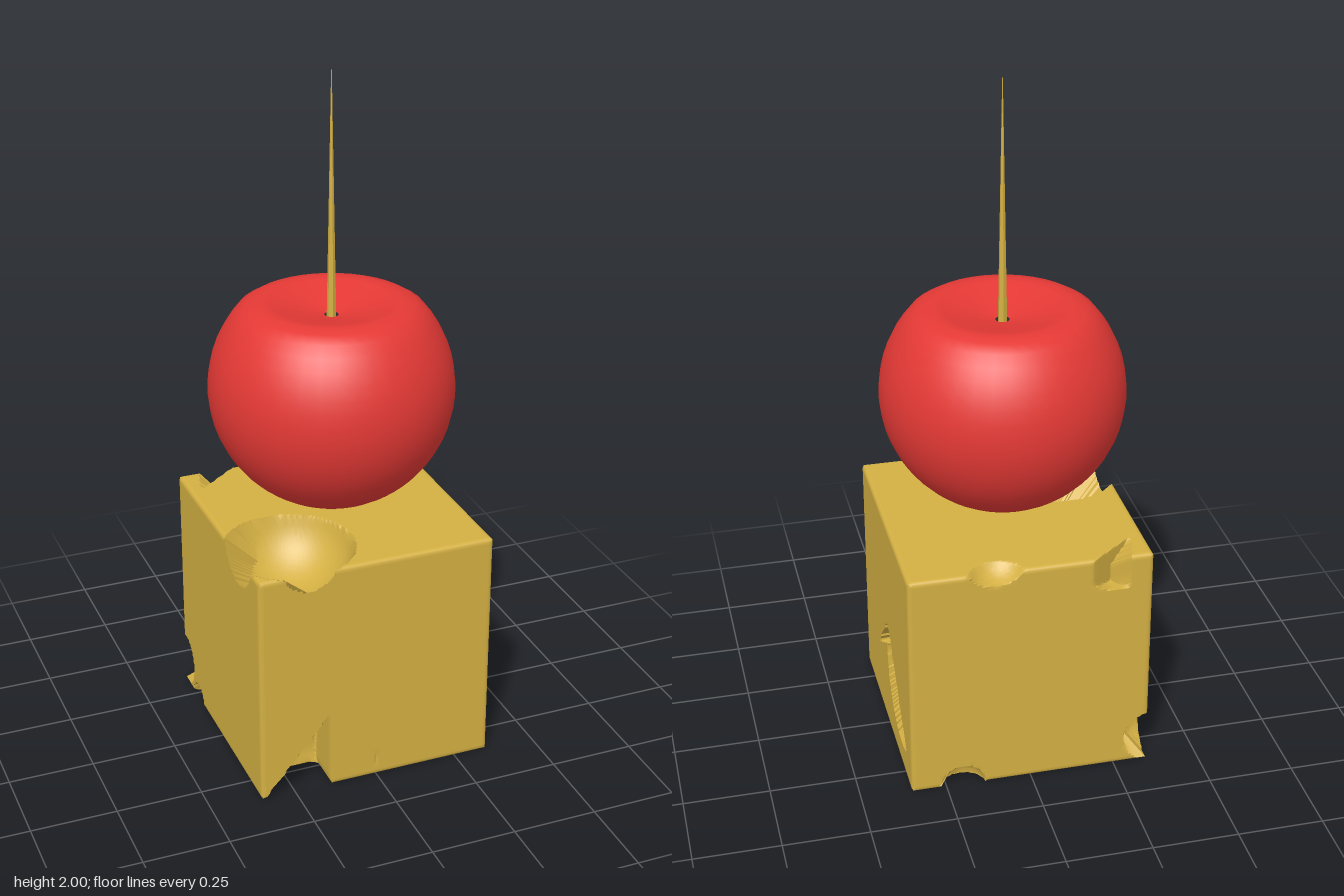
import * as THREE from 'three';
import { toCreasedNormals } from 'three/addons/utils/BufferGeometryUtils.js';

const HALF = 0.352; // half the side of the cheese cube
const V = (x, y, z) => new THREE.Vector3(x, y - HALF, z);

// A bite is a ball, optionally trimmed by planes given as [normal, point].
const bite = (center, r, planes = []) => ({
  c: V(...center), r,
  planes: planes.map(([n, q]) => ({ n: new THREE.Vector3(...n), q: V(...q) })),
});

const BITES = [
  // half-round hollow and its small side nick on the +x face
  bite([0.35, 0.268, -0.2], 0.193, [[[0, -0.68, 0.736], [0.35, 0.22, -0.15]]]),
  bite([0.36, 0.28, 0.06], 0.1, [
    [[0, -0.125, -0.14], [0.35, 0.355, 0]],
    [[0, 0.125, 0.075], [0.35, 0.29, 0]],
  ]),
  // large hollow beside the top front corner
  bite([-0.2, 0.735, 0.18], 0.19),
  // wedge in the top back corner
  bite([-0.25, 0.72, -0.33], 0.12, [
    [[0.105, 0, 0.03], [-0.285, 0.7, -0.35]],
    [[-0.11, 0, -0.14], [-0.18, 0.7, -0.35]],
  ]),
  // shallow scoop on the top back edge
  bite([0.1, 0.76, -0.37], 0.1),
  // triangular cut at the front bottom
  bite([-0.2, 0.05, 0.44], 0.22, [
    [[-1, 0, 0], [-0.14, 0, 0.35]],
    [[0.24, -0.2, 0], [-0.34, 0, 0.35]],
  ]),
  // nicks along the bottom edges
  bite([-0.36, 0.08, -0.34], 0.08),
  bite([-0.36, 0, -0.22], 0.05),
  bite([0.2, 0, -0.36], 0.065),
];

// How far along the ray from the cube's middle to p the bite begins (1 = not bitten).
function carve(p, { c, r, planes }) {
  const a = p.dot(p), b = p.dot(c), d = b * b - a * (c.dot(c) - r * r);
  if (d <= 0) return 1;
  let lo = (b - Math.sqrt(d)) / a, hi = (b + Math.sqrt(d)) / a;
  for (const { n, q } of planes) {
    const slope = p.dot(n), t = q.dot(n) / slope;
    if (slope > 0) lo = Math.max(lo, t);
    else hi = Math.min(hi, t);
  }
  return lo < 1 && hi >= 1 ? Math.max(lo, 0.3) : 1;
}

function cheeseGeometry() {
  const n = 88;
  const geo = new THREE.BoxGeometry(2 * HALF, 2 * HALF, 2 * HALF, n, n, n);
  const pos = geo.attributes.position;
  const p = new THREE.Vector3();
  for (let i = 0; i < pos.count; i++) {
    p.fromBufferAttribute(pos, i);
    const t = Math.min(...BITES.map((b) => carve(p, b)));
    // slightly broken edges
    const outer = p.toArray().map((v) => Math.abs(v) > HALF - 1e-4);
    if (t === 1 && outer.filter(Boolean).length > 1) {
      p.fromArray(p.toArray().map((v, k) => (outer[k] ? v - Math.sign(v) * 0.003 : v)));
    }
    p.multiplyScalar(t);
    pos.setXYZ(i, p.x, p.y, p.z);
  }
  return toCreasedNormals(geo, 0.6);
}

// Round fruit with a dished top and a small open hole for the pick.
function cherryGeometry() {
  const R = 0.35, cy = 1.09, pts = [];
  for (let i = 0; i <= 20; i++) {
    const a = THREE.MathUtils.lerp(-Math.PI / 2 + 0.07, 0.72, i / 20);
    pts.push(new THREE.Vector2(R * Math.cos(a), cy + R * Math.sin(a)));
  }
  for (const [x, y] of [[0.235, 1.338], [0.2, 1.346], [0.17, 1.343], [0.1, 1.322], [0.02, 1.305]]) {
    pts.push(new THREE.Vector2(x, y));
  }
  return new THREE.LatheGeometry(pts, 40);
}

export function createModel() {
  const group = new THREE.Group();
  const add = (name, geo, color, y = 0, extra = {}) => {
    const mesh = new THREE.Mesh(geo, new THREE.MeshStandardMaterial({ color, ...extra }));
    mesh.name = name;
    mesh.position.y = y;
    group.add(mesh);
  };
  add('cheeseCube', cheeseGeometry(), 0xd4b043, HALF);
  add('cherry', cherryGeometry(), 0xe53935);
  // tapered six-sided cocktail pick
  add('pick', new THREE.CylinderGeometry(0.001, 0.026, 1.4, 6), 0xd4b043, 1.3, { flatShading: true });
  return group;
}
